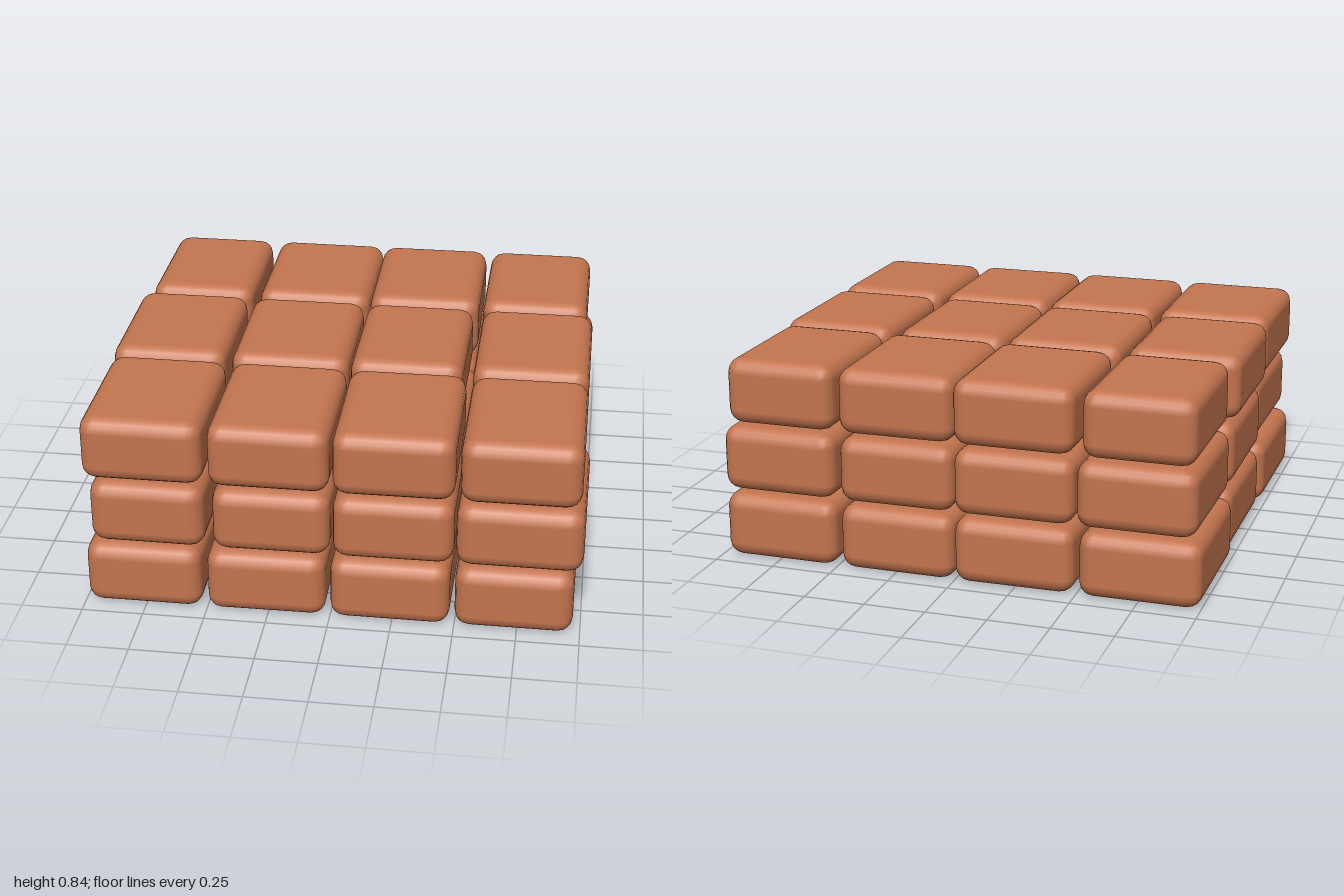
import * as THREE from 'three';
import { RoundedBoxGeometry } from 'three/addons/geometries/RoundedBoxGeometry.js';

// Left and right x edge of each brick, by layer (bottom to top), then row (back to front)
const EDGES = [
  [
    [-1, -0.51, -0.49, 0, 0, 0.48, 0.5, 0.98],
    [-0.98, -0.5, -0.48, -0.01, 0.01, 0.49, 0.5, 0.98],
    [-0.99, -0.52, -0.5, -0.02, 0, 0.48, 0.5, 0.97],
  ],
  [
    [-0.98, -0.5, -0.49, 0, 0, 0.48, 0.5, 0.98],
    [-0.98, -0.51, -0.49, 0, 0, 0.49, 0.5, 0.98],
    [-0.96, -0.5, -0.47, 0, 0.01, 0.49, 0.5, 1],
  ],
  [
    [-0.97, -0.52, -0.49, 0, 0, 0.48, 0.5, 0.955],
    [-1, -0.525, -0.5, -0.01, 0, 0.465, 0.505, 0.98],
    [-0.985, -0.5, -0.48, 0, 0.01, 0.49, 0.51, 0.98],
  ],
];

export function createModel() {
  const group = new THREE.Group();
  group.name = 'brickStack';
  const clay = new THREE.MeshStandardMaterial({ color: 0xc4754f });
  clay.name = 'clay';

  EDGES.forEach((rows, layer) => rows.forEach((edges, row) => {
    for (let col = 0; col < 4; col++) {
      const left = edges[col * 2], right = edges[col * 2 + 1];
      const brick = new THREE.Mesh(new RoundedBoxGeometry(right - left, 0.27, 0.615, 2, 0.06), clay);
      brick.name = `brick_${layer + 1}_${row + 1}_${col + 1}`;
      brick.position.set((left + right) / 2, 0.14 + layer * 0.284, (row - 1) * 0.64);
      // Slight hand-laid twist
      brick.rotation.y = 0.006 * Math.sin(layer * 5 + row * 3 + col * 2);
      group.add(brick);
    }
  }));
  return group;
}
